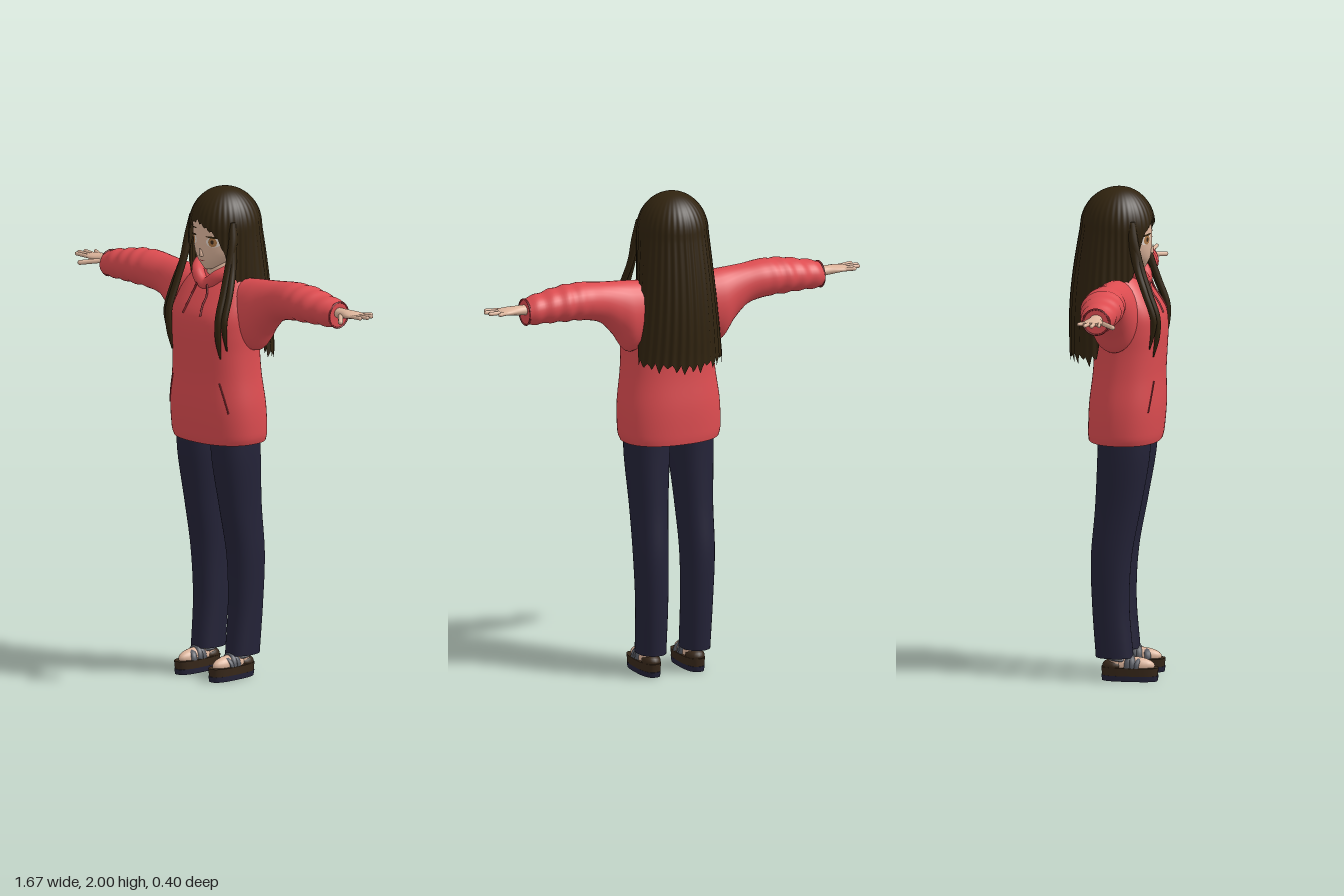
import * as THREE from 'three';

const mat = (name, color, side = THREE.FrontSide) => {
  const m = new THREE.MeshStandardMaterial({ color, side });
  m.name = name;
  return m;
};

// Smooth interpolation of section rows [t, c1, c2, r1, r2]
function at(S, t) {
  let i = 0;
  while (i < S.length - 2 && t > S[i + 1][0]) i++;
  const p1 = S[i], p2 = S[i + 1], p0 = S[i - 1] || p1, p3 = S[i + 2] || p2;
  const h = p2[0] - p1[0], u = THREE.MathUtils.clamp((t - p1[0]) / h, 0, 1);
  const u2 = u * u, u3 = u2 * u;
  return p1.map((_, k) => {
    const m1 = (p2[k] - p0[k]) / (p2[0] - p0[0]) * h;
    const m2 = (p3[k] - p1[k]) / (p3[0] - p1[0]) * h;
    return (2 * u3 - 3 * u2 + 1) * p1[k] + (u3 - 2 * u2 + u) * m1 + (3 * u2 - 2 * u3) * p2[k] + (u3 - u2) * m2;
  });
}

function meshFrom(pos, idx) {
  const g = new THREE.BufferGeometry();
  g.setAttribute('position', new THREE.Float32BufferAttribute(pos, 3));
  g.setIndex(idx);
  g.computeVertexNormals();
  return g;
}

// Closed superelliptic loft along 'y' (centres x,z) or 'x' (centres y,z)
function loft(S, { axis = 'y', e = 2, n = 32, rows = 32, wob = () => 1 } = {}) {
  const t0 = S[0][0], t1 = S[S.length - 1][0];
  const R = [[t0, 0], [t0, 1]];
  for (let i = 0; i <= rows; i++) R.push([t0 + (t1 - t0) * i / rows, 1]);
  R.push([t1, 1], [t1, 0]);
  const pos = [], idx = [];
  R.forEach(([t, k], i) => {
    const [, c1, c2, r1, r2] = at(S, t);
    for (let j = 0; j < n; j++) {
      const a = j / n * Math.PI * 2, c = Math.cos(a), s = Math.sin(a), w = k * wob(t, a);
      const p = c1 + w * r1 * Math.sign(c) * Math.abs(c) ** (2 / e);
      const q = c2 + w * r2 * Math.sign(s) * Math.abs(s) ** (2 / e);
      pos.push(...(axis === 'y' ? [p, t, q] : [t, p, q]));
      if (i === R.length - 1 || i === 1 || i === R.length - 3) continue;
      const A = i * n + j, B = i * n + (j + 1) % n, C = A + n, D = B + n;
      idx.push(...(axis === 'y' ? [A, C, B, B, C, D] : [A, B, C, B, D, C]));
    }
  });
  return meshFrom(pos, idx);
}

// Front surface depth of a y loft
function frontZ(S, x, y, e = 2) {
  const [, c1, c2, r1, r2] = at(S, y);
  return c2 + r2 * Math.max(0, 1 - Math.abs((x - c1) / r1) ** e) ** (1 / e);
}

function mirror(g) {
  const m = g.clone().scale(-1, 1, 1), a = m.index.array;
  for (let i = 0; i < a.length; i += 3) [a[i], a[i + 1]] = [a[i + 1], a[i]];
  return m;
}

const V = (p) => new THREE.Vector3(...p);
const tube = (pts, r, closed = false, seg = 32) =>
  new THREE.TubeGeometry(new THREE.CatmullRomCurve3(pts.map(V), closed), seg, r, 10, closed);

function capsule(a, b, r) {
  const A = V(a), B = V(b), d = B.clone().sub(A);
  const q = new THREE.Quaternion().setFromUnitVectors(new THREE.Vector3(0, 1, 0), d.clone().normalize());
  const mid = A.add(B).multiplyScalar(0.5);
  return new THREE.CapsuleGeometry(r, d.length(), 5, 10).applyQuaternion(q).translate(mid.x, mid.y, mid.z);
}

// Hair length by angle from the face, in degrees
const EDGE = [[0, 1.885], [15, 1.865], [35, 1.825], [48, 1.75], [58, 1.67], [75, 1.62], [98, 1.6], [108, 1.37], [140, 1.335], [180, 1.325]];

function hairShell() {
  const n = 216, rows = 36, pos = [], idx = [];
  for (let i = 0; i <= rows; i++) for (let j = 0; j < n; j++) {
    const phi = (j / n * 2 - 1) * Math.PI, deg = Math.abs(phi) * 180 / Math.PI;
    const part = Math.min(180, Math.abs(phi * 180 / Math.PI + (deg < 60 ? 7 * (1 - deg / 60) : 0)));
    const tooth = Math.abs(((j / 6) % 1) * 2 - 1);
    const end = at(EDGE, part)[1] - tooth * (deg > 100 ? 0.03 + 0.015 * Math.sin(j * 0.37) : 0.012);
    const y = 2 - (2 - end) * (i / rows) ** 1.8;
    const k = y > 1.84 ? Math.sqrt(Math.max(0, 1 - ((y - 1.84) / 0.16) ** 2)) : 1;
    const q = Math.max(0, (1.84 - y) / 0.53), back = THREE.MathUtils.smoothstep(deg, 70, 120);
    const w = k * (1 - 0.035 * tooth * Math.min(1, (2 - y) * 5));
    const rx = 0.145 + 0.06 * q * back;
    const rz = Math.cos(phi) > 0 ? 0.145 : 0.158 + 0.045 * Math.sin(Math.min(1, q * 1.1) * 1.9);
    pos.push(Math.sin(phi) * rx * w, y, Math.cos(phi) * rz * w);
    if (i === rows) continue;
    const A = i * n + j, B = i * n + (j + 1) % n;
    idx.push(A, A + n, B, B, A + n, B + n);
  }
  return meshFrom(pos, idx);
}

export function createModel() {
  const root = new THREE.Group();
  root.name = 'girlInHoodie';
  const red = mat('hoodieRed', 0xdc4c50), darkRed = mat('seamRed', 0x8f2a30);
  const navy = mat('trouserNavy', 0x242338), skin = mat('skin', 0xddb59c);
  const hair = mat('hairBrown', 0x30230f, THREE.DoubleSide), white = mat('eyeWhite', 0xf0e2d8);
  const iris = mat('irisAmber', 0xb07a48), grey = mat('strapGrey', 0x565961), brown = mat('soleBrown', 0x38281a);
  const add = (name, g, m) => {
    const mesh = new THREE.Mesh(g, m);
    mesh.name = name;
    root.add(mesh);
  };
  const pair = (name, g, m) => {
    add(name + 'Left', g, m);
    add(name + 'Right', mirror(g), m);
  };

  // Hoodie body
  const body = [
    [0.975, 0, 0.026, 0.203, 0.146], [1.0, 0, 0.028, 0.212, 0.15], [1.12, 0, 0.035, 0.212, 0.153],
    [1.25, 0, 0.042, 0.196, 0.145], [1.35, 0, 0.047, 0.19, 0.145], [1.43, 0, 0.05, 0.192, 0.145],
    [1.5, 0, 0.046, 0.192, 0.14], [1.57, 0, 0.028, 0.182, 0.117], [1.63, 0, 0.012, 0.15, 0.088], [1.67, 0, 0, 0.1, 0.06]];
  add('hoodieBody', loft(body, { e: 2.3, n: 56, rows: 48 }), red);

  // Sleeves with soft folds towards the cuff
  const sleeve = [
    [0.1, 1.52, 0.01, 0.12, 0.085], [0.2, 1.505, 0.005, 0.147, 0.095], [0.26, 1.545, 0.003, 0.111, 0.082],
    [0.32, 1.577, 0, 0.084, 0.075], [0.4, 1.592, 0, 0.077, 0.082], [0.5, 1.592, 0, 0.071, 0.084],
    [0.58, 1.585, 0, 0.062, 0.072], [0.63, 1.58, 0, 0.057, 0.064], [0.657, 1.577, 0, 0.05, 0.057]];
  const folds = (x, a) => 1 + 0.035 * Math.sin(x * 95 + 1.5 * Math.sin(a)) * THREE.MathUtils.smoothstep(x, 0.36, 0.48);
  pair('sleeve', loft(sleeve, { axis: 'x', rows: 64, wob: folds }), red);
  pair('cuffSeam', new THREE.TorusGeometry(0.052, 0.004, 6, 32).rotateY(Math.PI / 2).translate(0.656, 1.577, 0), darkRed);

  // Hood lying round the neck, cords and pocket openings
  add('hoodCollar', tube([[0, 1.615, 0.105], [0.06, 1.655, 0.09], [0.1, 1.685, 0.02], [0.08, 1.67, -0.06],
    [0, 1.65, -0.085], [-0.08, 1.67, -0.06], [-0.1, 1.685, 0.02], [-0.06, 1.655, 0.09]], 0.026, true, 64), red);
  add('hoodBack', new THREE.SphereGeometry(1, 28, 18).scale(0.12, 0.075, 0.05).translate(0, 1.6, -0.09), red);
  const onBody = (x, y) => [x, y, frontZ(body, x, y, 2.3) + 0.002];
  pair('hoodCord', tube([[0.028, 1.62, 0.125], onBody(0.04, 1.58), onBody(0.042, 1.54), onBody(0.05, 1.5)], 0.004), darkRed);
  pair('pocketOpening', tube([onBody(0.133, 1.235), onBody(0.15, 1.18), onBody(0.168, 1.11)], 0.003), darkRed);

  // Trousers
  const leg = [
    [0.095, 0.098, -0.005, 0.058, 0.076], [0.3, 0.1, -0.02, 0.062, 0.075], [0.5, 0.103, -0.018, 0.067, 0.082],
    [0.7, 0.1, 0.008, 0.073, 0.092], [0.9, 0.098, 0.03, 0.086, 0.105], [1.02, 0.097, 0.035, 0.088, 0.108]];
  pair('trouserLeg', loft(leg, { e: 2.2 }), navy);

  // Platform sandals and feet
  const sole = (y0, y1, r) => loft([[y0, 0.098, 0.057, r - 0.002, 0.112], [y1, 0.098, 0.057, r, 0.116]], { e: 2.7, rows: 2, n: 40 });
  pair('soleBase', sole(0, 0.022, 0.041), navy);
  pair('soleTop', sole(0.022, 0.055, 0.043), brown);
  pair('heelCup', new THREE.SphereGeometry(1, 20, 12).scale(0.038, 0.028, 0.045).translate(0.098, 0.06, -0.01), brown);
  pair('foot', new THREE.SphereGeometry(1, 24, 16).scale(0.034, 0.036, 0.098).translate(0.098, 0.062, 0.06), skin);
  pair('ankle', new THREE.CylinderGeometry(0.032, 0.032, 0.1, 20).translate(0.098, 0.1, 0), skin);
  for (const [z, turn, h] of [[0.095, 0.3, 0.95], [0.06, -0.35, 1.25], [0.06, 0.35, 1.25]])
    pair('strap', new THREE.TorusGeometry(0.036, 0.007, 8, 24, Math.PI).scale(1, h, 1.9)
      .rotateY(turn).translate(0.098, 0.054, z), grey);
  pair('ankleStrap', new THREE.TorusGeometry(0.035, 0.006, 8, 28).rotateX(Math.PI / 2 + 0.15).translate(0.098, 0.088, 0.002), grey);

  // Hands
  pair('palm', loft([[0.63, 1.585, 0, 0.022, 0.026], [0.69, 1.588, 0, 0.019, 0.028], [0.73, 1.59, 0, 0.015, 0.039],
    [0.76, 1.591, -0.003, 0.011, 0.041], [0.775, 1.591, -0.004, 0.007, 0.036]], { axis: 'x', n: 20, rows: 16 }), skin);
  for (const [z0, x1, z1] of [[-0.034, 0.79, -0.05], [-0.013, 0.82, -0.022], [0.008, 0.827, 0.006], [0.028, 0.813, 0.034]])
    pair('finger', capsule([0.755, 1.591, z0], [x1, 1.594, z1], 0.008), skin);
  pair('thumb', capsule([0.69, 1.583, 0.022], [0.748, 1.575, 0.08], 0.01), skin);

  // Head and neck
  const head = [
    [1.675, 0, 0.085, 0.012, 0.02], [1.695, 0, 0.066, 0.042, 0.05], [1.72, 0, 0.047, 0.072, 0.079],
    [1.76, 0, 0.026, 0.1, 0.105], [1.82, 0, 0.015, 0.116, 0.116], [1.9, 0, 0.005, 0.114, 0.115], [1.96, 0, 0, 0.075, 0.08]];
  add('head', loft(head, { n: 40, rows: 40 }), skin);
  add('neck', new THREE.CylinderGeometry(0.045, 0.055, 0.16, 24).translate(0, 1.66, 0.03), skin);
  add('nose', new THREE.ConeGeometry(0.011, 0.035, 12).rotateX(0.35).translate(0, 1.752, 0.133), skin);

  // Face details laid on the curve of the face
  const patch = (x, y, w, h, off, tilt = 0) => {
    const g = new THREE.RingGeometry(0.001, 1, 24, 4).scale(w, h, 1).rotateZ(tilt).translate(x, y, 0);
    const p = g.attributes.position;
    for (let i = 0; i < p.count; i++) p.setZ(i, frontZ(head, p.getX(i), p.getY(i)) + off);
    g.computeVertexNormals();
    return g;
  };
  pair('eye', patch(0.055, 1.795, 0.028, 0.02, 0.001), white);
  pair('iris', patch(0.053, 1.795, 0.016, 0.019, 0.002), iris);
  pair('pupil', patch(0.053, 1.796, 0.006, 0.009, 0.003), brown);
  pair('upperLash', patch(0.057, 1.815, 0.031, 0.004, 0.003, -0.08), hair);
  pair('brow', patch(0.056, 1.843, 0.028, 0.003, 0.002, -0.05), hair);
  add('mouth', patch(0, 1.714, 0.014, 0.002, 0.002), darkRed);

  // Hair: parted fringe and long back in one shell, with loose front locks
  add('hair', hairShell(), hair);
  const lock = (dx, dz, end, w) => loft([
    [end, 0.148 + dx, 0.15 + dz, 0.003, 0.003], [end + 0.08, 0.15 + dx, 0.165 + dz, w * 0.8, 0.011],
    [1.5, 0.152 + dx, 0.165 + dz, w, 0.013], [1.6, 0.146 + dx, 0.13 + dz, w, 0.014],
    [1.7, 0.134 + dx * 0.5, 0.095 + dz, w, 0.016], [1.8, 0.126, 0.075, w, 0.02], [1.88, 0.115, 0.065, 0.012, 0.015]],
  { n: 14, rows: 36 });
  pair('outerLock', lock(0.014, -0.004, 1.37, 0.013), hair);
  pair('innerLock', lock(-0.01, 0.008, 1.335, 0.016), hair);
  return root;
}
